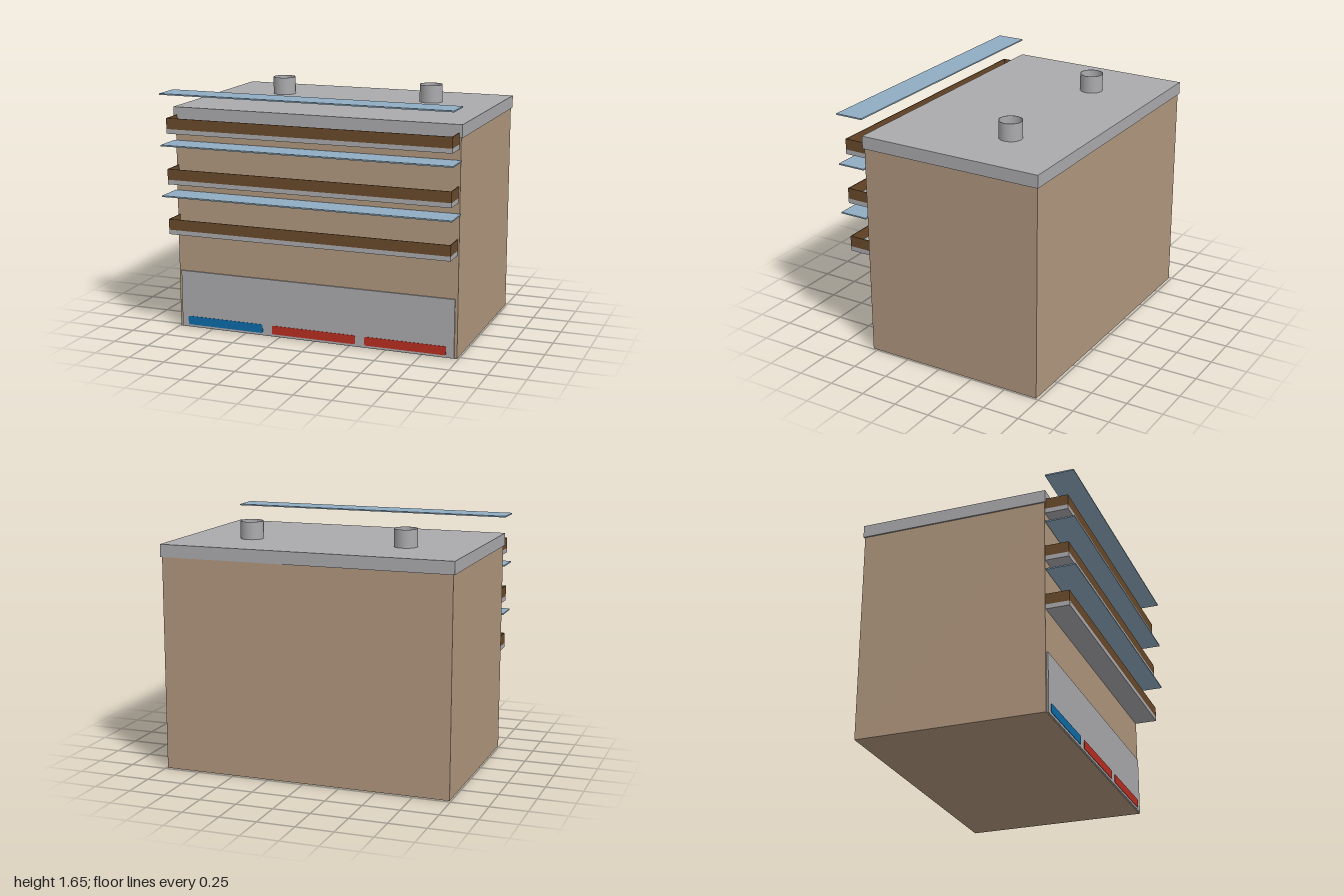
import * as THREE from 'three';

const mat = (name, color, side = THREE.FrontSide) => {
  const m = new THREE.MeshStandardMaterial({ color, side });
  m.name = name;
  return m;
};

export function createModel() {
  const model = new THREE.Group();
  model.name = 'apartmentBlock';

  const tan = mat('tan wall', 0xb0977e);
  const grey = mat('concrete grey', 0xababae, THREE.DoubleSide);
  const brown = mat('brown parapet', 0x6a4a2b);
  const glass = mat('pale blue awning', 0x90adc2);
  const blue = mat('blue sign', 0x0c6ba8);
  const red = mat('red sign', 0xb92e22);

  // Box given by its limits on each axis
  const box = (name, material, [x0, x1], [y0, y1], [z0, z1], parent = model) => {
    const mesh = new THREE.Mesh(new THREE.BoxGeometry(x1 - x0, y1 - y0, z1 - z0), material);
    mesh.position.set((x0 + x1) / 2, (y0 + y1) / 2, (z0 + z1) / 2);
    mesh.name = name;
    parent.add(mesh);
    return mesh;
  };

  // Main block, roof slab and ground-floor shop front
  box('walls', tan, [-0.99, 0.99], [0, 1.446], [-0.73, 0.534]);
  box('roof', grey, [-1, 1], [1.446, 1.531], [-0.738, 0.543]);
  box('shopFront', grey, [-0.972, 0.972], [0.004, 0.4], [0.534, 0.544]);

  // Hollow roof vents
  const r = 0.078, t = 0.004;
  const ventProfile = [[r - t, 1.531], [r - t, 1.65], [r, 1.65], [r, 1.531]]
    .map(([x, y]) => new THREE.Vector2(x, y)).reverse();
  for (const x of [-0.542, 0.542]) {
    // Separate walls and rim keep the edges sharp
    const vent = new THREE.Group();
    vent.name = 'roofVent';
    vent.position.set(x, 0, -0.278);
    for (let i = 0; i < 3; i++) {
      const part = new THREE.Mesh(new THREE.LatheGeometry(ventProfile.slice(i, i + 2), 32), grey);
      part.name = ['ventOuterWall', 'ventRim', 'ventInnerWall'][i];
      vent.add(part);
    }
    model.add(vent);
  }

  // Balconies with an awning above each
  for (let i = 0; i < 3; i++) {
    const y = 0.69 + i * 0.342;
    const balcony = new THREE.Group();
    balcony.name = 'balcony';
    model.add(balcony);
    const w = 0.98, front = 0.69, back = 0.534, th = 0.006;
    const rail = [y + 0.031, y + 0.104];
    box('balconyFloor', grey, [-w, w], [y, y + 0.031], [back, front], balcony);
    box('frontParapet', brown, [-w, w], rail, [front - th, front], balcony);
    box('rightParapet', brown, [-w, -w + th], rail, [back, front - th], balcony);
    box('leftParapet', brown, [w - th, w], rail, [back, front - th], balcony);
    box('awning', glass, [-1, 1], [y + 0.264, y + 0.273], [0.543, 0.738]);
  }

  // Rounded sign plates on the shop front
  const sign = (name, material, x0, x1) => {
    const y0 = 0.02, y1 = 0.08, c = 0.01;
    const s = new THREE.Shape();
    s.absarc(x1 - c, y0 + c, c, -Math.PI / 2, 0);
    s.absarc(x1 - c, y1 - c, c, 0, Math.PI / 2);
    s.absarc(x0 + c, y1 - c, c, Math.PI / 2, Math.PI);
    s.absarc(x0 + c, y0 + c, c, Math.PI, Math.PI * 1.5);
    const geo = new THREE.ExtrudeGeometry(s, { depth: 0.003, bevelEnabled: false, curveSegments: 4 });
    const mesh = new THREE.Mesh(geo, material);
    mesh.position.z = 0.544;
    mesh.name = name;
    model.add(mesh);
  };
  sign('blueSign', blue, -0.926, -0.37);
  sign('redSignCentre', red, -0.302, 0.294);
  sign('redSignLeft', red, 0.36, 0.918);

  return model;
}
